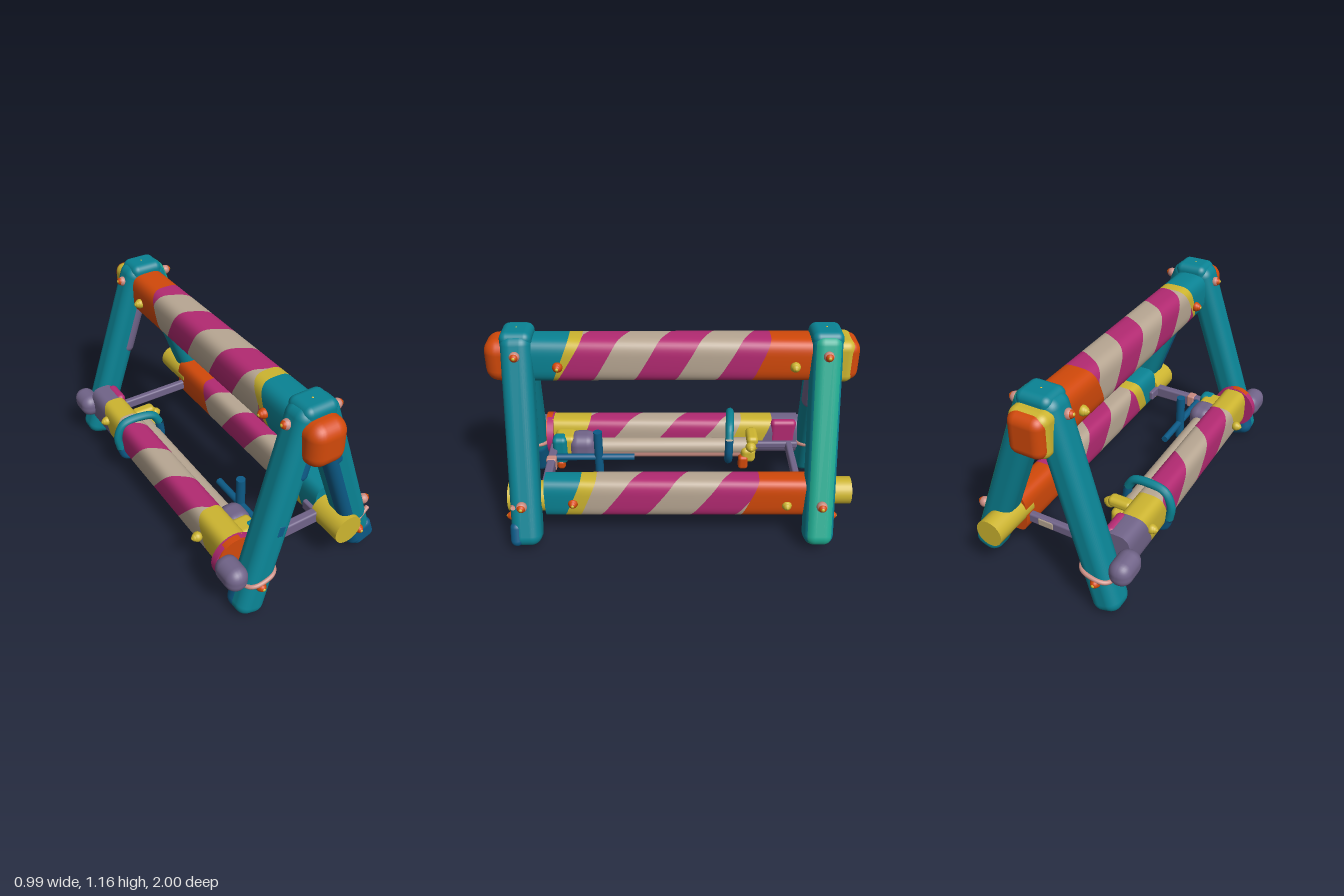
import * as THREE from 'three';
import { RoundedBoxGeometry } from 'three/addons/geometries/RoundedBoxGeometry.js';

const mat = (name, color) => Object.assign(new THREE.MeshStandardMaterial({ color }), { name });
const V = (x, y, z) => new THREE.Vector3(x, y, z);

export function createModel() {
  const root = new THREE.Group();
  root.name = 'trestle';
  const teal = mat('teal', 0x0a8394), green = mat('green', 0x1fa98f), blue = mat('deep blue', 0x0c5a86);
  const pink = mat('magenta', 0xb32a72), beige = mat('beige', 0xb8a793), orange = mat('orange', 0xd2490a);
  const yellow = mat('yellow', 0xcdb530), purple = mat('purple', 0x716489), rose = mat('rose', 0xca8c82);

  const add = (name, geo, material, x = 0, y = 0, z = 0, parent = root) => {
    const m = new THREE.Mesh(geo, material);
    m.name = name;
    m.position.set(x, y, z);
    parent.add(m);
    return m;
  };
  const block = (name, material, x, y, z, w, h, d, r, parent = root) =>
    add(name, new RoundedBoxGeometry(w, h, d, 4, r), material, x, y, z, parent);
  const rod = (name, material, a, b, r, sides = 20) => {
    const m = add(name, new THREE.CylinderGeometry(r, r, a.distanceTo(b), sides), material);
    m.position.copy(a).add(b).multiplyScalar(0.5);
    m.quaternion.setFromUnitVectors(V(0, 1, 0), b.clone().sub(a).normalize());
  };
  const zRod = (name, material, x, y, z0, z1, r) => rod(name, material, V(x, y, z0), V(x, y, z1), r, 28);

  // Peg: a ball with a coloured cap and a yellow dot pointing outwards
  const peg = (x, y, z, dir, base, cap, r = 0.028) => {
    const g = new THREE.Group();
    g.name = 'peg';
    g.position.set(x, y, z);
    root.add(g);
    const d = dir.clone().normalize();
    [['pegBase', base, 1, 0], ['pegCap', cap, 0.8, 0.4], ['pegDot', yellow, 0.4, 0.9]].forEach(([name, m, size, out]) =>
      add(name, new THREE.SphereGeometry(r * size, 14, 10), m, d.x * r * out, d.y * r * out, d.z * r * out, g));
  };

  // Legs: rounded posts; face materials in order +x, -x, +y, -y, +z, -z
  const leg = (name, bottom, top, mats) => {
    const m = add(name, new RoundedBoxGeometry(0.16, bottom.distanceTo(top), 0.165, 5, 0.06), mats);
    m.position.copy(bottom).add(top).multiplyScalar(0.5);
    m.quaternion.setFromUnitVectors(V(0, 1, 0), top.clone().sub(bottom).normalize());
    return m;
  };
  const T = teal;
  const frontRight = leg('frontRightLeg', V(-0.385, 0.015, 0.875), V(-0.025, 1.14, 0.82), T);
  const frontLeft = leg('frontLeftLeg', V(0.425, 0.04, 0.8), V(0.03, 1.14, 0.82), T);
  const backRight = leg('backRightLeg', V(-0.385, 0.015, -0.875), V(-0.025, 1.14, -0.82), T);
  leg('backLeftLeg', V(0.425, 0.04, -0.81), V(0.03, 1.14, -0.82), [green, T, T, green, T, T]);
  for (const s of [1, -1]) block('legCrown', teal, 0.005, 1.1, s * 0.82, 0.19, 0.13, 0.17, 0.04);

  // Worn paint: thin coats standing just proud of a leg corner, in leg coordinates
  const coat = (parent, material, sx, sz, y, w, h, d = 0.1) =>
    block('wornPaint', material, sx * (0.083 - w / 2), y, sz * (0.0855 - d / 2), w, h, d, Math.min(w, d, h) * 0.49, parent);
  coat(frontLeft, blue, -1, 1, 0.28, 0.12, 0.24);
  coat(frontLeft, blue, -1, 1, 0, 0.09, 0.9);
  coat(frontLeft, blue, -1, 1, -0.42, 0.11, 0.3);
  coat(frontLeft, blue, 1, 1, -0.51, 0.14, 0.14, 0.07);
  coat(frontRight, blue, 1, 1, 0.3, 0.09, 0.2);
  coat(frontRight, blue, 1, -1, -0.455, 0.166, 0.27, 0.12);
  coat(backRight, purple, 1, 1, 0.22, 0.1, 0.4, 0.12);
  block('wornSpot', blue, 0.01, -0.06, 0.08, 0.035, 0.06, 0.01, 0.004, frontRight);

  // Beams: rounded section, colour bands cut on a slant, helical stripes between
  const N = 40;
  const beam = (name, cx, cy, w, h, bands, { from, to, start, width, lean }) => {
    const g = new THREE.Group();
    g.name = name;
    g.position.set(cx, cy, 0);
    root.add(g);
    const soft = (v) => Math.sign(v) * Math.pow(Math.abs(v), 0.6);
    const ring = [], turn = [0];
    for (let i = 0; i <= N; i++) {
      const a = (i / N) * Math.PI * 2;
      ring.push([soft(Math.sin(a)) * w / 2, -soft(Math.cos(a)) * h / 2]);
      if (i) turn.push(turn[i - 1] + Math.hypot(ring[i][0] - ring[i - 1][0], ring[i][1] - ring[i - 1][1]));
    }
    // Slanted cut; the first stripe edge has its own lean, the beam ends are square
    const slant = (z, i) => {
      if (Math.abs(z) > 0.68) return z;
      return z - (z === from ? lean : 0.1) * ring[i][1] / h;
    };
    const band = (part, material, front, back) => {
      const pos = [], idx = [];
      ring.forEach(([x, y], i) => pos.push(x, y, front(i), x, y, back(i)));
      for (let i = 0; i < N; i++) {
        const a = 2 * i;
        idx.push(a, a + 1, a + 2, a + 1, a + 3, a + 2);
      }
      const geo = new THREE.BufferGeometry();
      geo.setAttribute('position', new THREE.Float32BufferAttribute(pos, 3));
      geo.setIndex(idx);
      geo.computeVertexNormals();
      add(part, geo, material, 0, 0, 0, g);
    };
    bands.forEach(([material, z0, z1]) => band('endBand', material, (i) => slant(z0, i), (i) => slant(z1, i)));
    // Stripe edges drop two widths per turn, measured from the middle of the left face
    for (let k = -4; k < 10; k++) {
      const edge = (n) => (i) => THREE.MathUtils.clamp(
        start - n * width - 2 * width * (turn[i] / turn[N] - 0.25), slant(to, i), slant(from, i));
      const f = edge(k), b = edge(k + 1);
      if (ring.some((_, i) => f(i) - b(i) > 1e-4)) band('stripe', k & 1 ? beige : pink, f, b);
    }
    // Flat ends
    const shape = new THREE.Shape(ring.slice(0, N).map(([x, y]) => new THREE.Vector2(x, y)));
    add('frontEnd', new THREE.ShapeGeometry(shape), bands[0][0], 0, 0, bands[0][1], g);
    const last = bands[bands.length - 1];
    add('backEnd', new THREE.ShapeGeometry(shape), last[0], 0, 0, last[2], g).rotation.y = Math.PI;
  };
  beam('topBeam', 0, 0.995, 0.205, 0.25,
    [[teal, 0.78, 0.595], [yellow, 0.595, 0.55], [orange, -0.475, -0.78]],
    { from: 0.55, to: -0.475, start: 0.58, width: 0.22, lean: 0.15 });
  beam('leftBeam', 0.28, 0.277, 0.16, 0.24,
    [[teal, 0.7, 0.55], [yellow, 0.55, 0.465], [orange, -0.43, -0.77]],
    { from: 0.465, to: -0.43, start: 0.32, width: 0.25, lean: 0.1 });
  beam('rightBeam', -0.35, 0.277, 0.16, 0.24,
    [[yellow, 0.74, 0.55], [yellow, -0.38, -0.57], [purple, -0.57, -0.78]],
    { from: 0.55, to: -0.38, start: 0.64, width: 0.28, lean: 0.1 });
  block('rightBeamInnerPatch', pink, -0.297, 0.3, -0.69, 0.06, 0.2, 0.16, 0.028);

  // Top beam ends poking through the frames
  block('topBeamFrontEnd', orange, -0.005, 0.992, 0.9, 0.215, 0.245, 0.2, 0.075);
  block('topBeamBackCollar', yellow, -0.005, 0.992, -0.88, 0.215, 0.245, 0.19, 0.05);
  block('topBeamBackEnd', orange, -0.005, 0.992, -0.9, 0.2, 0.23, 0.2, 0.055);

  // Lower left beam end pieces
  zRod('leftFrontDisc', yellow, 0.26, 0.248, 0.7, 0.91, 0.086);
  zRod('leftBackEnd', yellow, 0.275, 0.295, -0.7, -0.99, 0.077);

  // Purple knobs outside the right legs
  for (const s of [1, -1]) block('purpleKnob', purple, -0.435, 0.275, s * 0.84, 0.125, 0.14, 0.19, 0.06);

  // Stacked discs on the front of the right beam
  zRod('magentaDisc', pink, -0.355, 0.272, 0.73, 0.768, 0.13);
  zRod('orangeDisc', orange, -0.36, 0.295, 0.74, 0.775, 0.108);

  // Slim secondary beam with its patched sleeve
  zRod('slimBeam', beige, -0.23, 0.255, -0.47, 0.5, 0.05);
  block('slimBeamUnderside', rose, -0.23, 0.223, 0.01, 0.088, 0.07, 0.94, 0.03);
  block('sleeve', purple, -0.225, 0.265, 0.545, 0.15, 0.17, 0.17, 0.06);
  block('sleevePatch', yellow, -0.235, 0.262, 0.65, 0.13, 0.17, 0.13, 0.03);
  block('sleeveEnd', teal, -0.195, 0.258, 0.68, 0.09, 0.185, 0.09, 0.03);
  block('sleeveHook', orange, -0.172, 0.16, 0.68, 0.05, 0.06, 0.05, 0.02);

  // Strap round both right-hand beams: teal over the top, blue underneath
  const strap = (name, material, pts) => {
    const path = new THREE.CatmullRomCurve3(pts.map(([x, y]) => V(x, y, -0.36 + (x + 0.31) * 0.07)));
    add(name, new THREE.TubeGeometry(path, 32, 0.025, 10), material);
  };
  strap('strapTop', teal, [[-0.44, 0.22], [-0.45, 0.31], [-0.41, 0.39], [-0.31, 0.408], [-0.22, 0.39], [-0.18, 0.33]]);
  strap('strapBottom', blue, [[-0.18, 0.33], [-0.175, 0.22], [-0.22, 0.155], [-0.32, 0.14], [-0.41, 0.155], [-0.44, 0.22]]);

  // Latch beside the strap
  block('latchArm', yellow, -0.215, 0.33, -0.49, 0.14, 0.06, 0.07, 0.025);
  block('latchBody', yellow, -0.2, 0.22, -0.47, 0.09, 0.1, 0.09, 0.03);
  block('latchTail', orange, -0.175, 0.175, -0.44, 0.06, 0.09, 0.06, 0.02);
  peg(-0.145, 0.3, -0.48, V(1, 0, 0), yellow, yellow, 0.032);

  // Cross bars
  block('frontCrossBar', purple, -0.06, 0.24, 0.72, 0.54, 0.075, 0.05, 0.012);
  block('crossBarClamp', rose, -0.065, 0.24, 0.72, 0.05, 0.082, 0.06, 0.01);
  block('backCrossBar', purple, -0.02, 0.24, -0.725, 0.5, 0.06, 0.04, 0.012);
  block('backBarPatch', beige, 0.1, 0.24, -0.729, 0.1, 0.05, 0.038, 0.01);
  block('backSideBar', purple, -0.25, 0.25, -0.63, 0.03, 0.04, 0.3, 0.01);
  block('frontSideStub', purple, 0.19, 0.245, 0.68, 0.03, 0.06, 0.12, 0.01);

  // Blue handle
  rod('handleUpright', blue, V(-0.113, 0.145, 0.44), V(-0.113, 0.43, 0.44), 0.026);
  rod('handleBar', blue, V(-0.113, 0.25, 0.225), V(-0.113, 0.25, 0.7), 0.02);

  // Rose cords hugging the right legs, and a short cord end on the front left leg
  for (const s of [1, -1]) {
    const pts = [[-0.082, -0.05], [-0.05, -0.082], [0.05, -0.082], [0.082, -0.05],
      [0.082, 0.05], [0.05, 0.082], [-0.05, 0.082], [-0.082, 0.05]].map(([x, z]) => V(x, x * 0.22, z));
    const path = new THREE.CatmullRomCurve3(pts, true);
    add('cord', new THREE.TubeGeometry(path, 56, 0.013, 8, true), rose, -0.313, 0.243, s * 0.863);
  }
  rod('cordEnd', rose, V(0.335, 0.25, 0.883), V(0.43, 0.29, 0.86), 0.013, 10);
  add('hangingLoop', new THREE.TorusGeometry(0.036, 0.01, 8, 24), pink, 0.015, 0.86, 0.79);

  // Pegs on the frames
  for (const s of [1, -1]) {
    peg(-0.135, 1.065, s * 0.815, V(-1, 0.2, 0), rose, orange);
    peg(0.155, 1.065, s * 0.815, V(1, 0.1, 0), rose, orange);
    peg(0, 1.147, s * 0.82, V(0, 1, 0), teal, rose, 0.016);
    peg(0.44, 0.305, s * 0.81, V(1, 0.1, 0), rose, orange, 0.03);
    peg(-0.33, 0.215, s * 0.945, V(0, 0, s), orange, orange);
    peg(0.36, 0.185, s * 0.885, V(0, 0, s), orange, orange, 0.026);
  }

  // Pegs on the beams
  for (const s of [1, -1]) {
    peg(s * 0.108, 0.98, 0.605, V(s, 0, 0), orange, orange);
    peg(s * 0.108, 0.98, -0.655, V(s, 0, 0), yellow, yellow);
  }
  peg(0.355, 0.265, 0.545, V(1, 0, 0), orange, orange);
  peg(0.355, 0.25, -0.635, V(1, 0, 0), yellow, yellow);
  peg(-0.45, 0.27, 0.54, V(-1, 0, 0), yellow, yellow);
  peg(-0.435, 0.3, -0.56, V(-1, 0, 0), yellow, yellow);
  return root;
}
